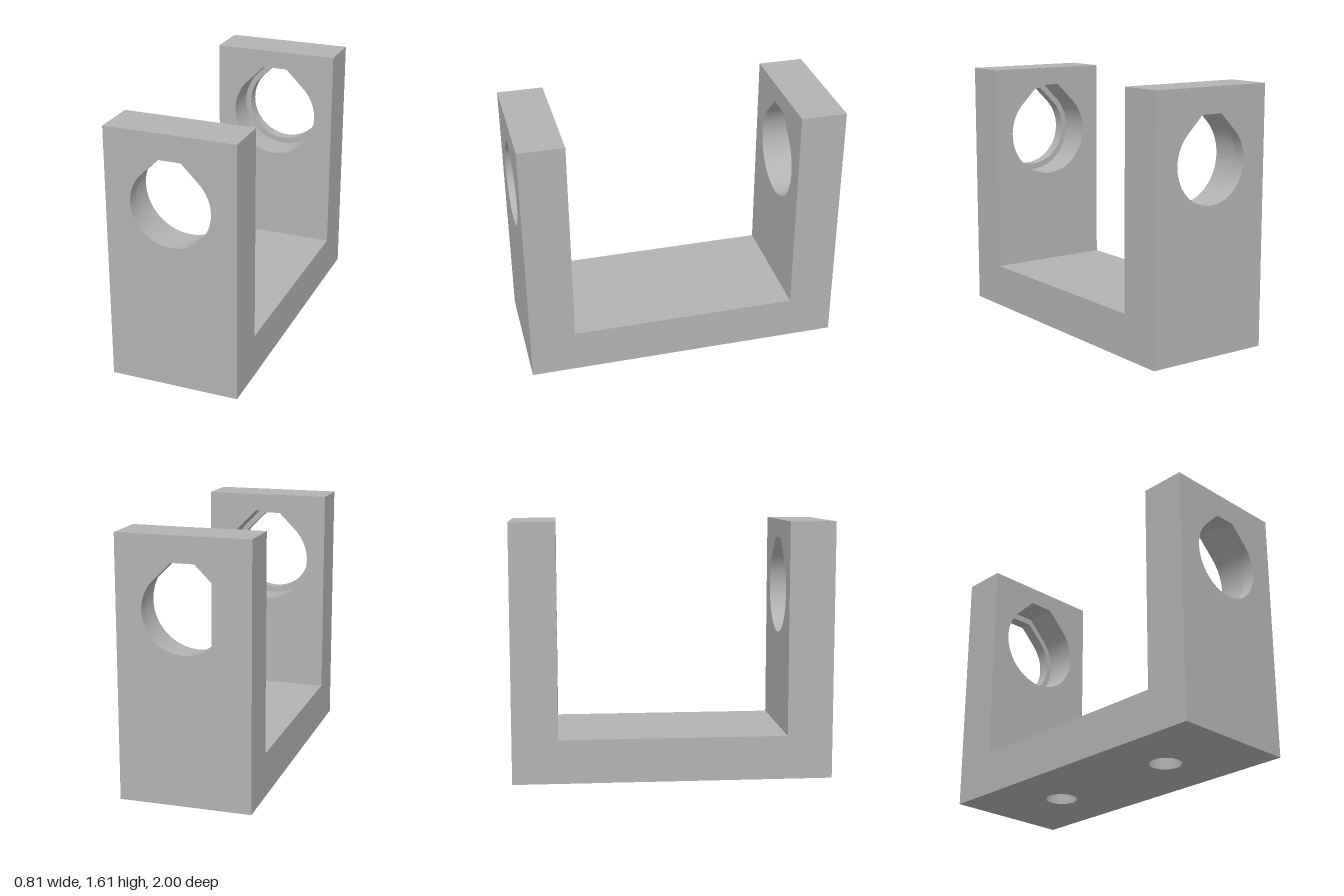
import * as THREE from 'three';
import { mergeGeometries, toCreasedNormals } from 'three/addons/utils/BufferGeometryUtils.js';

const W = 0.407, H = 1.61, FLOOR = 0.275, INNER = 0.715; // half width, height, floor top, wall inner face
const HOLE_Y = 1.17, SMALL = 0.25, BIG = 0.287, LEDGE = 0.923; // stepped bore
const PIN_R = 0.1, PIN_Z = 0.46, PIN_DEPTH = 0.2; // blind holes underneath
const SEG = 48;

// Circle with a 45 degree roof cut flat at the top
function roofedHole(r) {
  const s = new THREE.Shape();
  const top = 1.13 * r, half = Math.SQRT2 * r - top;
  s.absarc(0, HOLE_Y, r, Math.PI * 0.75, Math.PI * 2.25, false);
  s.lineTo(half, HOLE_Y + top);
  s.lineTo(-half, HOLE_Y + top);
  s.closePath();
  return s;
}

function circle(y, r) {
  const s = new THREE.Shape();
  s.absarc(0, y, r, 0, Math.PI * 2, false);
  return s;
}

function rect(y0, y1) {
  return new THREE.Shape([[-W, y0], [W, y0], [W, y1], [-W, y1]].map(p => new THREE.Vector2(...p)));
}

function face(shape, ...holes) {
  shape.holes.push(...holes);
  return new THREE.ShapeGeometry(shape, SEG);
}

// Inward-facing wall of a hole: extrusion sides only, turned inside out by mirroring
function liner(shape, depth) {
  const ex = new THREE.ExtrudeGeometry(shape, { depth, bevelEnabled: false, curveSegments: SEG });
  const sides = ex.groups[1];
  const pos = ex.attributes.position.array.slice(sides.start * 3, (sides.start + sides.count) * 3);
  const g = new THREE.BufferGeometry();
  g.setAttribute('position', new THREE.BufferAttribute(pos, 3));
  return g.scale(-1, 1, 1);
}

// Joins faces into one part, smooth round the bores and sharp elsewhere
function part(name, material, geometries) {
  const plain = geometries.map(g => {
    const n = g.index ? g.toNonIndexed() : g;
    n.deleteAttribute('uv');
    n.deleteAttribute('normal');
    return n;
  });
  const mesh = new THREE.Mesh(toCreasedNormals(mergeGeometries(plain), 0.6), material);
  mesh.name = name;
  return mesh;
}

export function createModel() {
  const grey = new THREE.MeshStandardMaterial({ color: 0xb3b3b3 });
  grey.name = 'grey';
  const model = new THREE.Group();
  model.name = 'bracket';

  // Upright walls: narrow bore outside, wider counterbore inside
  const wall = part('frontWall', grey, [
    face(rect(0, H), roofedHole(SMALL)).translate(0, 0, 1),
    face(rect(FLOOR, H), roofedHole(BIG)).rotateY(Math.PI).translate(0, 0, INNER),
    face(roofedHole(BIG), roofedHole(SMALL)).rotateY(Math.PI).translate(0, 0, LEDGE),
    liner(roofedHole(SMALL), 1 - LEDGE).translate(0, 0, LEDGE),
    liner(roofedHole(BIG), LEDGE - INNER).translate(0, 0, INNER),
    new THREE.PlaneGeometry(2 * W, 1 - INNER).rotateX(-Math.PI / 2).translate(0, H, (1 + INNER) / 2),
  ]);
  const backWall = wall.clone();
  backWall.name = 'backWall';
  backWall.rotation.y = Math.PI;
  model.add(wall, backWall);

  // U-shaped sides
  const u = new THREE.Shape([
    [-1, 0], [1, 0], [1, H], [INNER, H], [INNER, FLOOR], [-INNER, FLOOR], [-INNER, H], [-1, H],
  ].map(p => new THREE.Vector2(...p)));
  for (const side of [1, -1]) {
    const g = face(u).rotateY(side * Math.PI / 2).translate(side * W, 0, 0);
    model.add(part(side > 0 ? 'leftSide' : 'rightSide', grey, [g]));
  }

  // Base: plain floor above, two blind holes below
  const base = [
    new THREE.PlaneGeometry(2 * W, 2 * INNER).rotateX(-Math.PI / 2).translate(0, FLOOR, 0),
    face(rect(-1, 1), circle(PIN_Z, PIN_R), circle(-PIN_Z, PIN_R)).rotateX(Math.PI / 2),
  ];
  for (const z of [PIN_Z, -PIN_Z]) {
    base.push(
      liner(circle(0, PIN_R), PIN_DEPTH).rotateX(-Math.PI / 2).translate(0, 0, z),
      face(circle(0, PIN_R)).rotateX(Math.PI / 2).translate(0, PIN_DEPTH, z),
    );
  }
  model.add(part('base', grey, base));
  return model;
}
